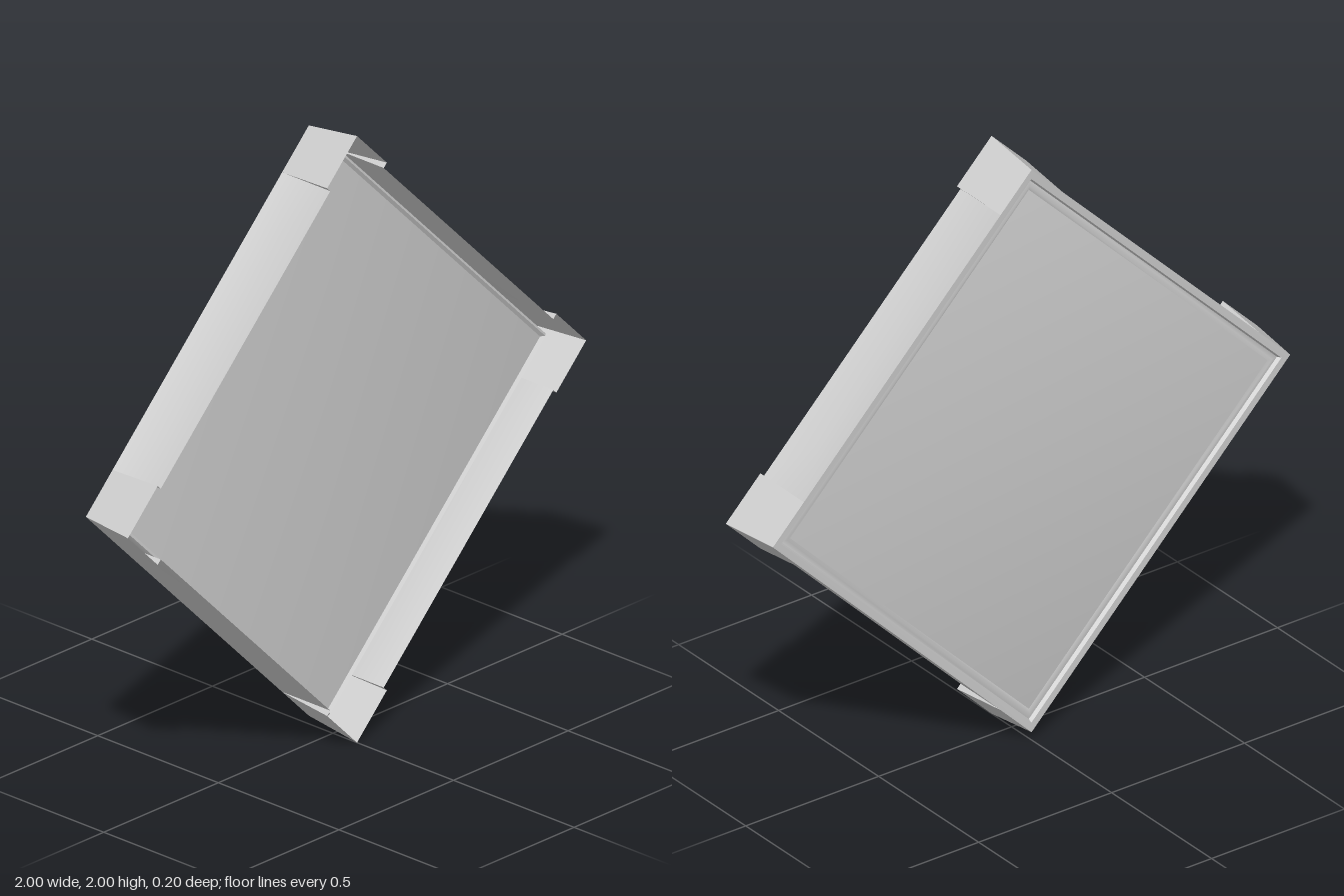
import * as THREE from 'three';
import { mergeVertices, toCreasedNormals } from 'three/addons/utils/BufferGeometryUtils.js';

const material = new THREE.MeshStandardMaterial({ color: 0xcccccc, side: THREE.DoubleSide });
const FRONT = 0.1, BACK = -0.1;   // depth limits
const OUT = 0.707, EDGE = 0.688;  // half sides: corner blocks, side walls
const VALLEY = 0.672;             // bottom of the crease along each side
const NOTCH = 0.523;              // where a corner block ends along a side

function mesh(name, geometry) {
  const m = new THREE.Mesh(geometry, material);
  m.name = name;
  return m;
}

// Sheet from points [along side, depth, distance from centre]
function sheet(points, faces, flip = false) {
  const g = new THREE.BufferGeometry();
  const xyz = points.flatMap(([t, z, r]) => [r, flip ? -t : t, z]);
  g.setAttribute('position', new THREE.Float32BufferAttribute(xyz, 3));
  g.setIndex(faces.flatMap(([a, b, c]) => (flip ? [a, c, b] : [a, b, c])));
  g.computeVertexNormals();
  return g;
}

// Side wall: a shallow hipped hollow between two corner blocks
function sideWall() {
  return sheet([
    [-NOTCH, BACK, EDGE], [NOTCH, BACK, EDGE], [NOTCH, FRONT, EDGE], [-NOTCH, FRONT, EDGE],
    [-0.345, 0, VALLEY], [0, 0, VALLEY], [0.345, 0, VALLEY],
  ], [[0, 4, 3], [1, 2, 6], [0, 5, 4], [0, 1, 5], [1, 6, 5], [2, 3, 5], [3, 4, 5], [2, 5, 6]]);
}

// Half of a corner block: tapered face plus the small step down to the side wall
function cornerHalf(flip) {
  const g = sheet([
    [NOTCH, BACK, EDGE], [EDGE, BACK, EDGE], [OUT, FRONT, OUT], [NOTCH, FRONT, OUT],
    [NOTCH, FRONT, EDGE],
  ], [[0, 1, 2], [0, 2, 3], [0, 3, 4]], flip);
  return toCreasedNormals(g, 0.6);
}

// Inner frame: a four-sided moulding turned around the depth axis
function innerFrame() {
  const profile = [
    [EDGE, -0.1], [0.674, -0.025], [0.664, -0.012], [0.654, -0.02], [0.654, -0.08],
    [0.63, -0.084], [0.645, -0.09], [0.66, -0.086], [0.665, -0.099], [EDGE, -0.1],
  ].map(([r, z]) => new THREE.Vector2(r * Math.SQRT2, z));
  const g = new THREE.LatheGeometry(profile, 4);
  g.rotateX(Math.PI / 2);
  return toCreasedNormals(g, 0.7);
}

// Panel: thin slab with normals shared across its edges for a soft gradient
function panelSlab() {
  const g = new THREE.BoxGeometry(1.308, 1.308, 0.066);
  g.deleteAttribute('normal');
  g.deleteAttribute('uv');
  const soft = mergeVertices(g);
  soft.computeVertexNormals();
  soft.translate(0, 0, -0.053);
  return soft;
}

export function createModel() {
  const group = new THREE.Group();
  group.name = 'diamondPanel';
  const body = new THREE.Group();
  body.name = 'body';
  body.position.y = 1;
  group.add(body);

  const panel = mesh('panel', panelSlab());
  panel.rotation.z = Math.PI / 4;
  body.add(panel, mesh('innerFrame', innerFrame()));

  // Four sides, each with its wall and half of the two neighbouring corners
  for (let i = 0; i < 4; i++) {
    const side = new THREE.Group();
    side.name = 'side' + (i + 1);
    side.rotation.z = Math.PI / 4 + i * Math.PI / 2;
    side.add(
      mesh('sideWall', sideWall()),
      mesh('cornerBlock', cornerHalf(false)),
      mesh('cornerBlock', cornerHalf(true)),
    );
    body.add(side);
  }
  return group;
}
